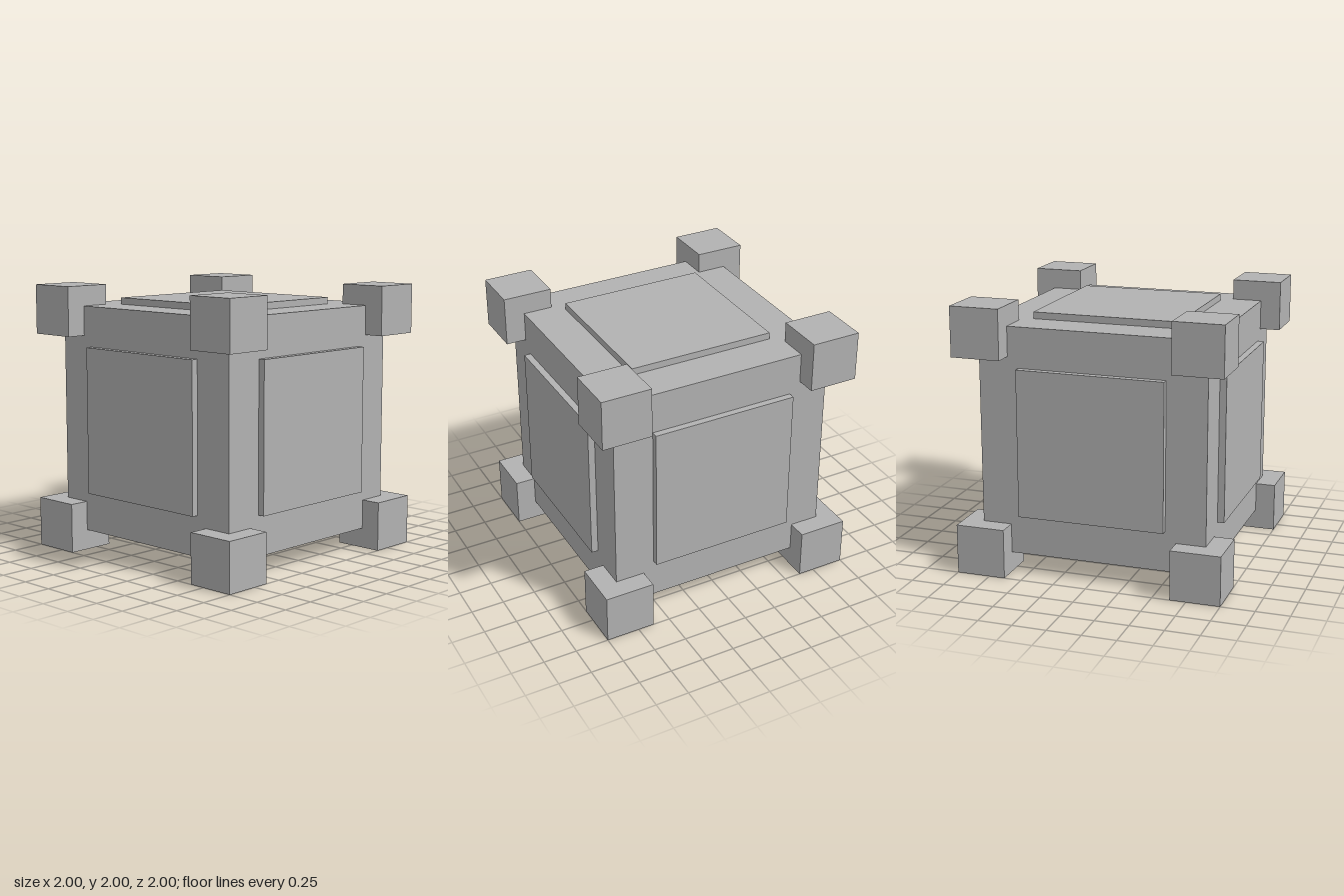
import * as THREE from 'three';

export function createModel() {
  const model = new THREE.Group();
  model.name = 'crate';
  const grey = new THREE.MeshStandardMaterial({ color: 0xb2b2b2 });
  grey.name = 'plain grey';

  const addBox = (name, size, position) => {
    const mesh = new THREE.Mesh(new THREE.BoxGeometry(...size), grey);
    mesh.name = name;
    mesh.position.set(...position);
    model.add(mesh);
  };

  // Main cube
  const half = 0.85;
  addBox('body', [2 * half, 2 * half, 2 * half], [0, 1, 0]);

  // Raised square panel on each of the six faces
  const panel = 1.1, raise = 0.05;
  const sides = [['left', 'right'], ['top', 'bottom'], ['front', 'back']];
  sides.forEach((names, axis) => {
    names.forEach((side, i) => {
      const size = [panel, panel, panel];
      size[axis] = raise;
      const position = [0, 1, 0];
      position[axis] += (i ? -1 : 1) * (half + raise / 2);
      addBox(`${side}Panel`, size, position);
    });
  });

  // Cube block on each of the eight corners
  const block = 0.37, offset = 1 - block / 2;
  for (const x of [-1, 1])
    for (const y of [-1, 1])
      for (const z of [-1, 1]) {
        const name = `${y > 0 ? 'top' : 'bottom'}${z > 0 ? 'Front' : 'Back'}${x > 0 ? 'Left' : 'Right'}Corner`;
        addBox(name, [block, block, block], [x * offset, 1 + y * offset, z * offset]);
      }

  return model;
}
